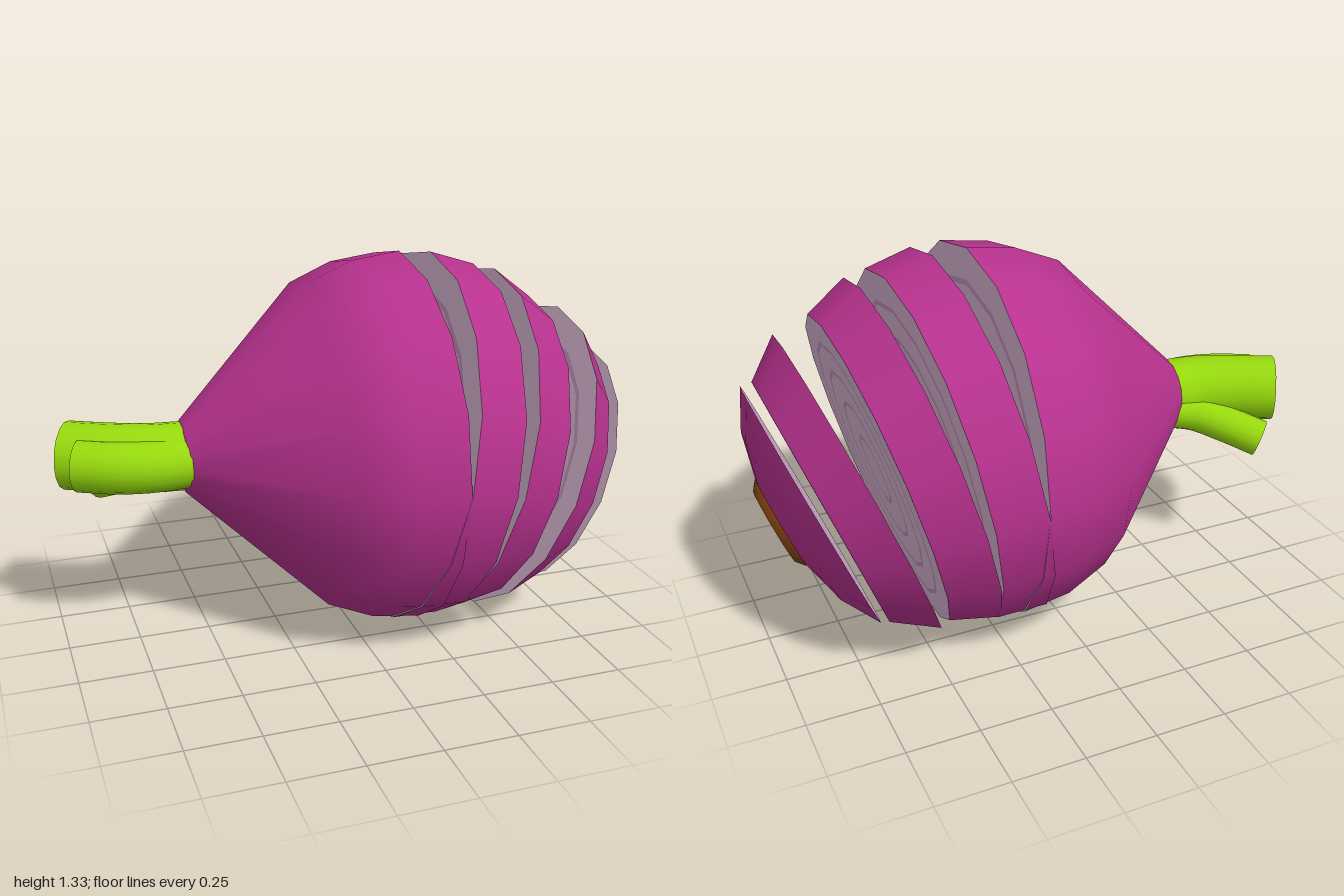
import * as THREE from 'three';

const mat = (name, color, side = THREE.FrontSide) => {
  const m = new THREE.MeshStandardMaterial({ color, side });
  m.name = name;
  return m;
};

export function createModel() {
  const skin = mat('purple skin', 0xb8328f);
  const flesh = mat('pale flesh', 0xd8b6d2);
  const layer = mat('layer line', 0xc590b9);
  const green = mat('green shoot', 0x96d80e);
  const brown = mat('brown root', 0x83430f);

  const model = new THREE.Group();
  model.name = 'slicedOnion';
  const R = 0.667, SIDES = 16;

  function add(parent, name, geometry, material) {
    const mesh = new THREE.Mesh(geometry, material);
    mesh.name = name;
    parent.add(mesh);
    return mesh;
  }

  // Lathe turned so its axis runs along +x; points are [x, radius]
  function latheX(points) {
    const g = new THREE.LatheGeometry(points.map(([x, r]) => new THREE.Vector2(r, x)), SIDES);
    return g.rotateZ(-Math.PI / 2);
  }

  // Flat cut face with thin concentric layers, facing +x or -x
  function cutFace(parent, x, radius, dir) {
    const edges = [0, 0.2, 0.23, 0.42, 0.45, 0.62, 0.65, 0.8, 0.83, 1];
    for (let i = 0; i < edges.length - 1; i++) {
      const g = new THREE.RingGeometry(edges[i] * radius, edges[i + 1] * radius, SIDES, 1);
      g.rotateY(dir * Math.PI / 2).translate(x, 0, 0);
      add(parent, i % 2 ? 'layerLine' : 'cutFace', g, i % 2 ? layer : flesh);
    }
  }

  function piece(name, x, y, tilt) {
    const group = new THREE.Group();
    group.name = name;
    group.position.set(x, y, 0);
    group.rotation.z = -THREE.MathUtils.degToRad(tilt);
    model.add(group);
    return group;
  }

  // Points on the round bulb, every 15 degrees
  const ball = (deg) => {
    const a = THREE.MathUtils.degToRad(deg);
    return [R * Math.sin(a), R * Math.cos(a)];
  };

  // Uncut half tapering to the neck
  const body = piece('bulbHalf', 0.22, R, 0);
  add(body, 'bulbSkin', latheX([[-0.805, 0], [-0.803, 0.085], [-0.785, 0.13], ball(-30), ball(-15), ball(0)]), skin);
  cutFace(body, 0, R, 1);

  // Slices leaning further and further over: [x, y, tilt, start angle]
  const slices = [[0.222, 0.667, 10, 0], [0.419, 0.627, 15, 15], [0.645, 0.55, 21, 30]];
  slices.forEach(([x, y, tilt, deg], i) => {
    const slice = piece('slice' + (i + 1), x, y, tilt);
    const [x0, r0] = ball(deg), [x1, r1] = ball(deg + 15);
    add(slice, 'sliceSkin', latheX([[0, r0], [x1 - x0, r1]]), skin);
    cutFace(slice, 0, r0, -1);
    cutFace(slice, x1 - x0, r1, 1);
  });

  // Rounded end slice with the root plate
  const end = piece('endSlice', 0.808, 0.5, 22);
  add(end, 'endSkin', latheX([[0, 0.468], [0.075, 0.333], [0.114, 0.173], [0.12, 0]]), skin);
  cutFace(end, 0, 0.468, -1);
  add(end, 'rootEdge', latheX([[0.1, 0.172], [0.117, 0.172], [0.142, 0.14]]), brown);
  const rootCap = new THREE.CircleGeometry(0.14, SIDES).rotateY(Math.PI / 2).translate(0.142, 0, 0);
  add(end, 'rootCap', rootCap, brown);

  // Bent shoots with flat cut ends
  function shoot(name, radius, points) {
    const group = new THREE.Group();
    group.name = name;
    const curve = new THREE.CatmullRomCurve3(points.map((p) => new THREE.Vector3(...p)));
    add(group, 'stalk', new THREE.TubeGeometry(curve, 10, radius, SIDES), green);
    const cap = add(group, 'stalkEnd', new THREE.CircleGeometry(radius, SIDES), green);
    cap.position.copy(curve.getPoint(1));
    cap.quaternion.setFromUnitVectors(new THREE.Vector3(0, 0, 1), curve.getTangent(1));
    model.add(group);
  }
  shoot('largeShoot', 0.12, [[-0.55, 0.667, -0.01], [-0.68, 0.667, -0.025], [-0.8, 0.667, -0.07], [-0.945, 0.667, -0.145]]);
  shoot('frontShoot', 0.09, [[-0.55, 0.665, 0.045], [-0.69, 0.665, 0.055], [-0.8, 0.665, 0.03], [-0.92, 0.665, -0.03]]);
  shoot('lowerShoot', 0.068, [[-0.55, 0.625, -0.08], [-0.64, 0.605, -0.105], [-0.73, 0.57, -0.165], [-0.835, 0.525, -0.25]]);

  return model;
}
